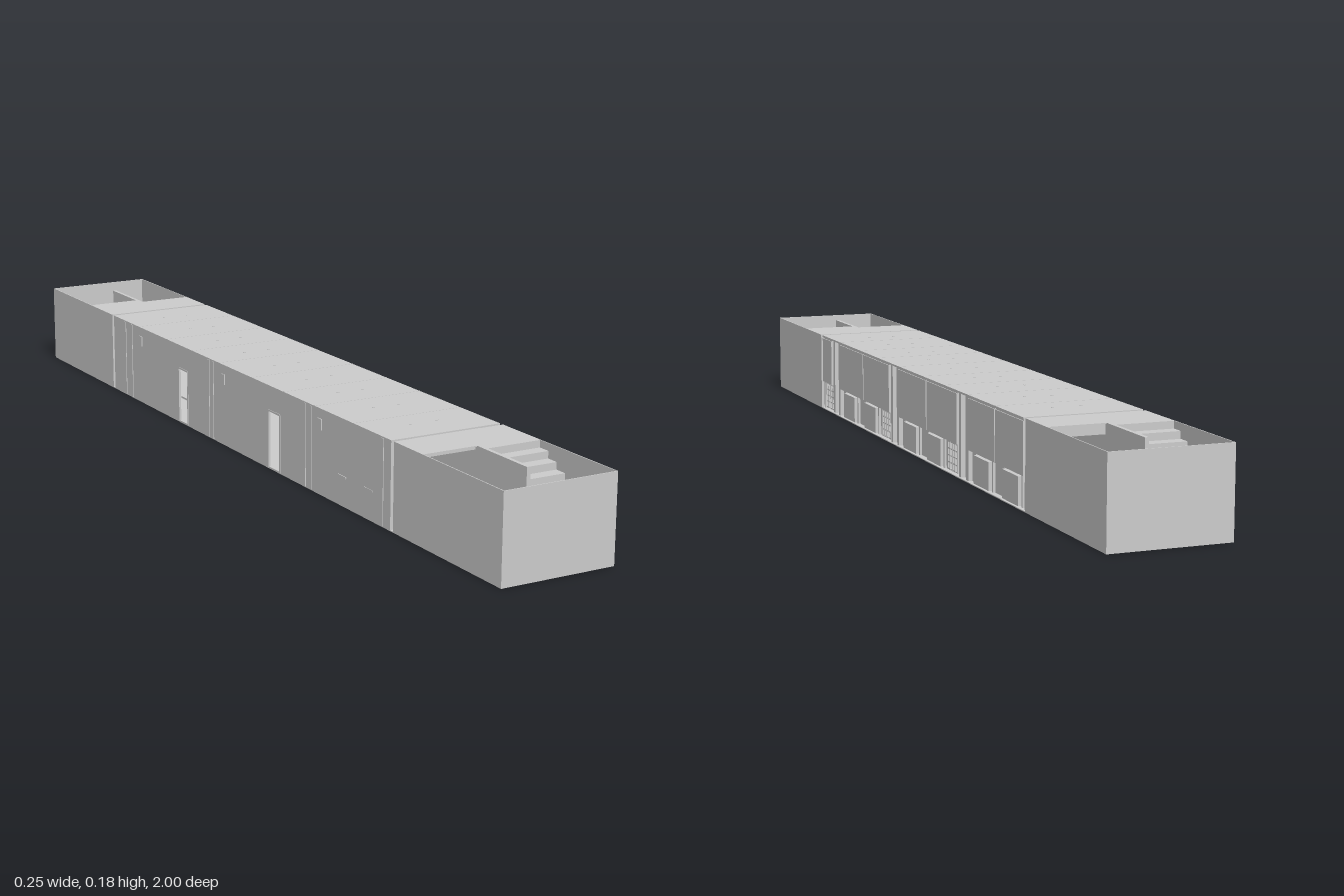
import * as THREE from 'three';

const mat = new THREE.MeshStandardMaterial({ color: 0xcccccc, side: THREE.DoubleSide });
const W = 0.125, H = 0.181, T = 0.004;

function add(group, name, geometry) {
  const mesh = new THREE.Mesh(geometry, mat);
  mesh.name = name;
  group.add(mesh);
  return mesh;
}

// Box given by its limits on each axis
function block(group, name, [x0, x1], [y0, y1], [z0, z1]) {
  const g = new THREE.BoxGeometry(x1 - x0, y1 - y0, z1 - z0);
  g.translate((x0 + x1) / 2, (y0 + y1) / 2, (z0 + z1) / 2);
  return add(group, name, g);
}

// Outline in (z, y), extruded from x0 to x1, with rectangular holes [z0, z1, y0, y1]
function sideProfile(group, name, points, x0, x1, holes = []) {
  const shape = new THREE.Shape(points.map(p => new THREE.Vector2(...p)));
  for (const [a, b, c, d] of holes) {
    shape.holes.push(new THREE.Path([[a, c], [a, d], [b, d], [b, c]].map(p => new THREE.Vector2(...p))));
  }
  const g = new THREE.ExtrudeGeometry(shape, { depth: x1 - x0, bevelEnabled: false });
  g.rotateY(-Math.PI / 2);
  g.translate(x1, 0, 0);
  return add(group, name, g);
}

// Flight of steps climbing from (z0, y0) to (z1, y1)
function flight(group, name, z0, y0, z1, y1, x0, x1) {
  const n = 6, dz = (z1 - z0) / n, dy = (y1 - y0) / n, pts = [];
  for (let i = 0; i < n; i++) {
    pts.push([z0 + dz * i, y0 + dy * i], [z0 + dz * i, y0 + dy * (i + 1)]);
  }
  pts.push([z1, y1], [z1, y1 - 0.012]);
  if (y0 > 0.02) pts.push([z0, y0 - 0.012]);
  else pts.push([z0 + dz, 0]);
  sideProfile(group, name, pts, x0, x1);
}

// Open-topped stairwell with a half-turn stair
function stairwell() {
  const g = new THREE.Group();
  g.name = 'stairwell';
  const t = 0.002;
  for (const s of [-1, 1]) {
    const x = s > 0 ? [W - t, W] : [-W, -W + t];
    block(g, 'stairwellSideWall', x, [0, H], [0.64, 1]);
  }
  block(g, 'stairwellEndWall', [-W, W], [0, H], [1 - t, 1]);
  block(g, 'stairwellRoof', [-W, W], [H - t, H], [0.64, 0.74]);
  block(g, 'stairwellFloor', [-W, W], [0, t], [0.64, 0.738]);
  block(g, 'landing', [-W + t, W - t], [0.08, 0.092], [0.9, 1 - t]);
  flight(g, 'lowerFlight', 0.738, 0, 0.9, 0.092, -W + t, -0.004);
  flight(g, 'upperFlight', 0.9, 0.092, 0.738, H, 0.004, W - t);
  sideProfile(g, 'stairDivider',
    [[0.735, 0], [0.77, 0], [0.9, 0.06], [0.9, H], [0.735, H]], -0.004, 0.004);
  // Portal towards the hall
  for (const s of [-1, 1]) {
    const x = s > 0 ? [0.075, W] : [-W, -0.075];
    block(g, 'portalSide', x, [0, H], [0.64, 0.642]);
  }
  block(g, 'portalHead', [-0.075, 0.075], [0.14, H], [0.64, 0.642]);
  // Narrow link across the joint
  for (const s of [-1, 1]) {
    const x = s > 0 ? [0.075, 0.118] : [-0.118, -0.075];
    block(g, 'jointJamb', x, [0, 0.145], [0.63, 0.64]);
  }
  block(g, 'jointRoof', [-0.075, 0.075], [0.14, H - 0.003], [0.63, 0.64]);
  block(g, 'jointFloor', [-W, W], [0, t], [0.63, 0.64]);
  return g;
}

export function createModel() {
  const model = new THREE.Group();
  const front = stairwell(), back = stairwell();
  back.rotation.y = Math.PI;
  model.add(front, back);

  const hall = new THREE.Group();
  hall.name = 'hall';
  model.add(hall);
  const L = 0.63;

  // Shell
  block(hall, 'floor', [-W, W], [0, 0.002], [-L, L]);
  block(hall, 'roof', [-W, W], [H - T, H], [-L, L]);
  const outline = [[-L, 0.002], [L, 0.002], [L, H - T], [-L, H - T]];
  sideProfile(hall, 'doorWall', outline, -W, -W + T,
    [[0.145, 0.195, 0.004, 0.125], [-0.28, -0.235, 0.004, 0.125]]);
  sideProfile(hall, 'shopWall', outline, 0.108, 0.112);
  for (const z of [-L, L - T]) {
    for (const x of [[-W + T, -0.075], [0.075, 0.12]]) {
      block(hall, 'hallEndWall', x, [0.002, H - T], [z, z + T]);
    }
    block(hall, 'hallEndHead', [-0.075, 0.075], [0.14, H - T], [z, z + T]);
  }

  // Upper panels on the shop side
  const upper = [[0.56, 0.628], [0.322, 0.5], [0.14, 0.318], [-0.098, 0.082],
    [-0.28, -0.102], [-0.483, -0.34], [-0.628, -0.487]];
  for (const z of upper) {
    block(hall, 'upperPanel', [0.112, W], [0.068, 0.174], z);
    block(hall, 'panelTrim', [0.112, W - 0.002], [0.174, H - T], z);
  }

  // Lower bays, posts and lattice shutters
  for (const z of [0.43, 0.28, 0.01, -0.14, -0.41, -0.56]) {
    block(hall, 'lowerBay', [0.112, 0.123], [0.004, 0.062], [z - 0.04, z + 0.04]);
    for (const s of [-1, 1]) {
      const c = z + s * 0.046;
      block(hall, 'bayPost', [0.112, 0.117], [0.002, 0.068], [c - 0.003, c + 0.003]);
    }
  }
  for (const z of [0.59, 0.175, -0.24]) {
    for (let i = 0; i <= 4; i++) {
      const c = z - 0.028 + i * 0.014, y = 0.006 + i * 0.0145;
      block(hall, 'latticeUpright', [0.112, 0.119], [0.004, 0.066], [c - 0.0015, c + 0.0015]);
      block(hall, 'latticeRail', [0.112, 0.118], [y - 0.0015, y + 0.0015], [z - 0.029, z + 0.029]);
    }
  }
  for (const z of [0.53, 0.11, -0.31]) {
    for (const s of [-1, 1]) {
      const c = z + s * 0.02;
      block(hall, 'pier', [0.112, 0.121], [0.002, H - T], [c - 0.006, c + 0.006]);
    }
  }

  // Ribs, door frames and small fittings on the door side
  for (const z of [-0.565, -0.53, -0.13, -0.11, 0.3, 0.325, 0.6]) {
    block(hall, 'wallRib', [-W - 0.0015, -W], [0.002, H - 0.003], [z - 0.004, z + 0.004]);
  }
  for (const [a, b] of [[0.145, 0.195], [-0.28, -0.235]]) {
    for (const z of [a, b]) {
      block(hall, 'doorJamb', [-W - 0.001, -W + T], [0.002, 0.127], [z - 0.002, z + 0.002]);
    }
    block(hall, 'doorHead', [-W - 0.001, -W + T], [0.125, 0.129], [a, b]);
  }
  for (const z of [-0.48, -0.06, 0.36]) {
    block(hall, 'wallSign', [-W - 0.002, -W], [0.137, 0.16], [z - 0.008, z + 0.008]);
  }
  for (const z of [-0.25, 0.45, 0.55]) {
    block(hall, 'wallRail', [-W - 0.0015, -W], [0.06, 0.064], [z - 0.015, z + 0.015]);
  }

  // Roof seams and vents
  for (const z of [-0.49, -0.34, -0.21, -0.08, 0.07, 0.21, 0.34, 0.49]) {
    block(hall, 'roofSeam', [-W, W], [H, H + 0.0004], [z - 0.001, z + 0.001]);
  }
  for (const z of [-0.55, -0.41, -0.27, -0.14, 0, 0.14, 0.27, 0.41, 0.55]) {
    for (const x of [-0.03, 0.03]) {
      const vent = new THREE.CylinderGeometry(0.003, 0.003, 0.001, 8);
      vent.translate(x, H + 0.0005, z);
      add(hall, 'roofVent', vent);
    }
  }
  return model;
}
